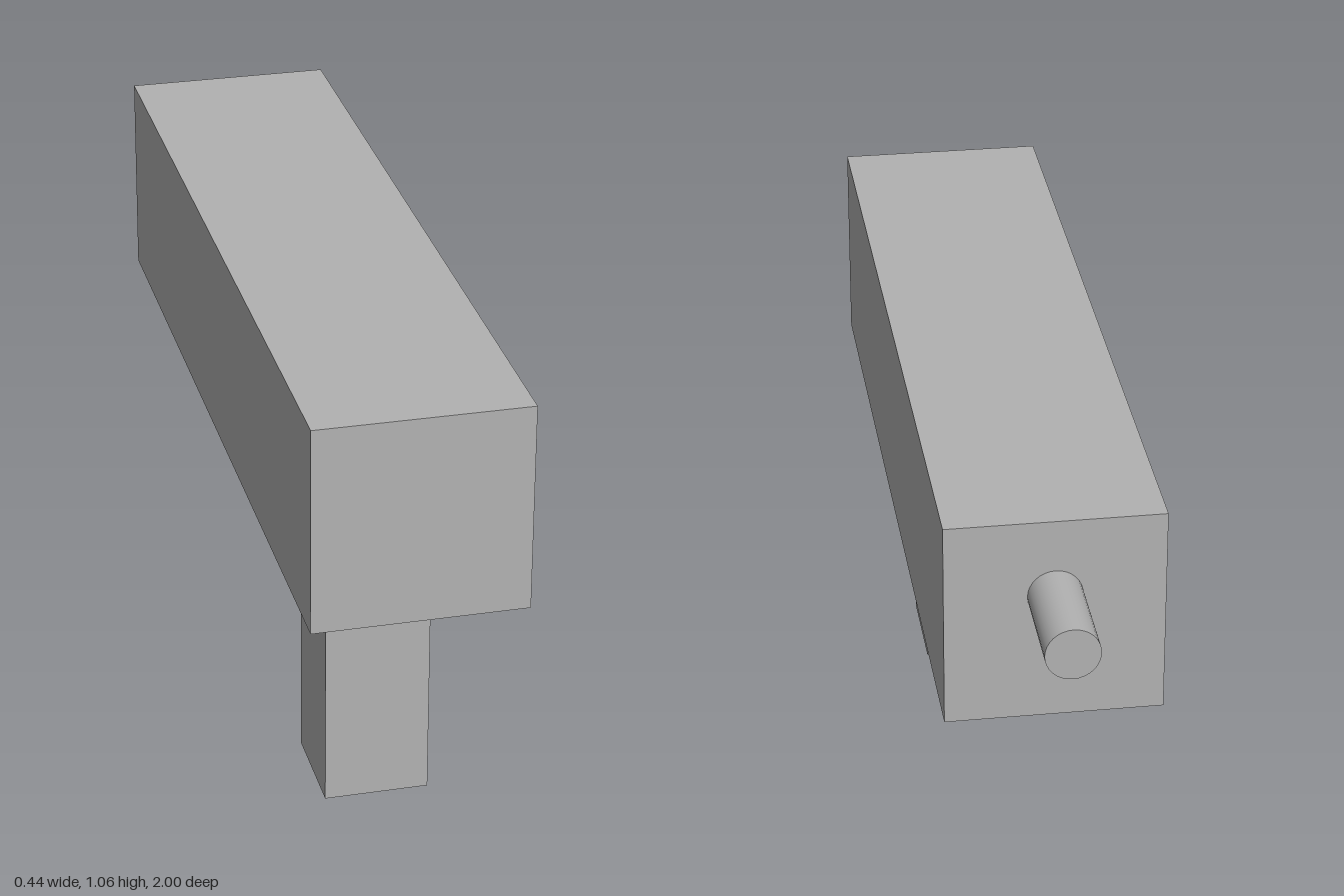
import * as THREE from 'three';

export function createModel() {
  const model = new THREE.Group();
  const grey = new THREE.MeshStandardMaterial({ color: 0xb2b2b2 });
  grey.name = 'grey';

  const add = (name, geometry, x, y, z) => {
    const mesh = new THREE.Mesh(geometry, grey);
    mesh.name = name;
    mesh.position.set(x, y, z);
    model.add(mesh);
  };

  const u = 1 / 9; // base module of all dimensions

  // Long square body
  add('body', new THREE.BoxGeometry(4 * u, 4 * u, 16 * u), 0, 7.5 * u, u);

  // Square grip below the front part of the body
  add('grip', new THREE.BoxGeometry(2 * u, 5.5 * u, 2 * u), 0, 2.75 * u, 5 * u);

  // Round barrel out of the back face
  const barrel = new THREE.CylinderGeometry(0.5 * u, 0.5 * u, 2 * u, 32).rotateX(Math.PI / 2);
  add('barrel', barrel, 0, 8 * u, -8 * u);

  return model;
}
